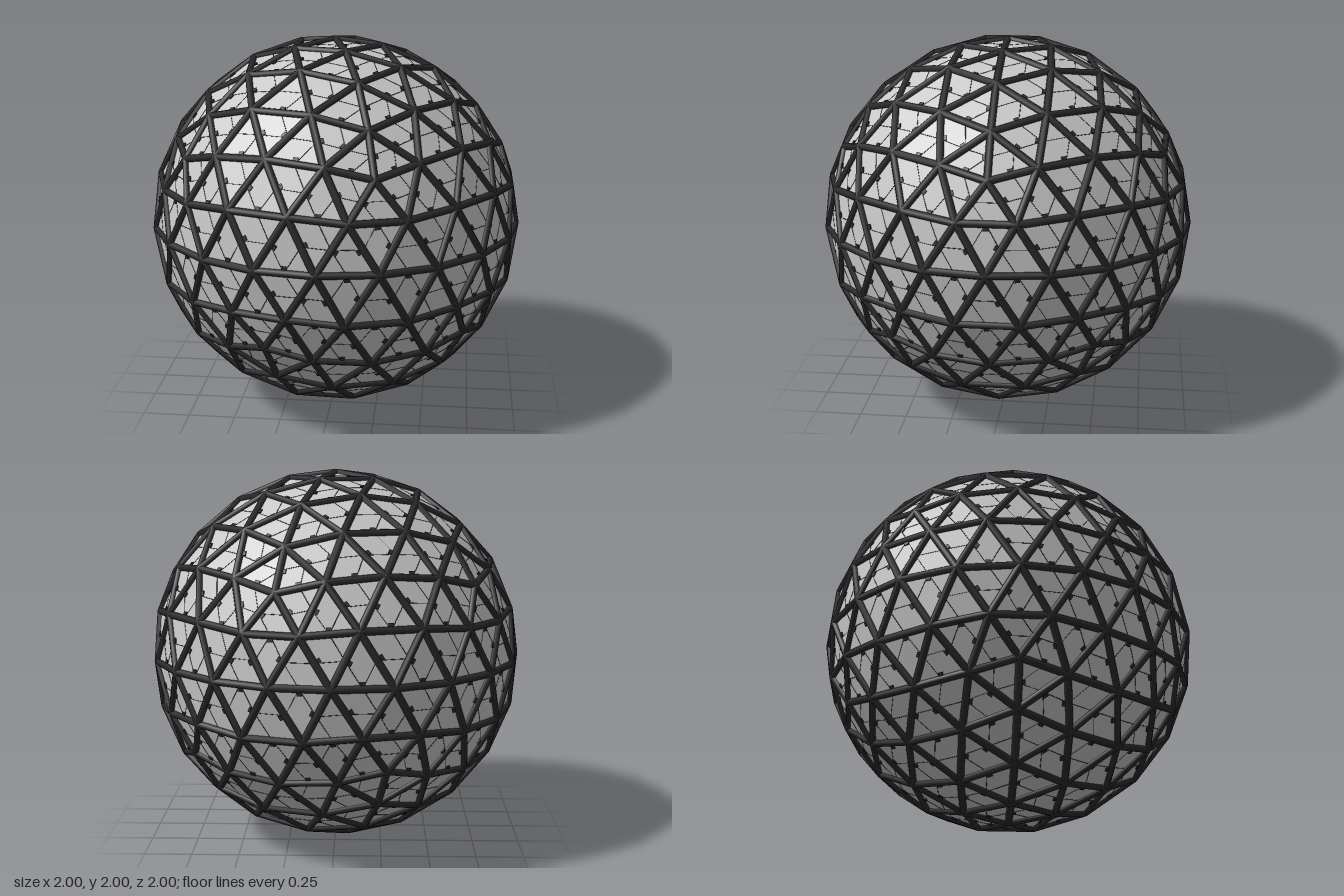
import * as THREE from 'three';
import { mergeGeometries } from 'three/addons/utils/BufferGeometryUtils.js';

const RADIUS = 0.981;  // frame centre line
const STRUT = 0.019;   // strut thickness

// Icosahedron standing on one corner, each side split in four
function geodesicSphere() {
  const v = [0, 1, 0], f = [];
  const h = 1 / Math.sqrt(5), r = 2 / Math.sqrt(5);
  for (const [y, turn] of [[h, 0], [-h, 0.5]]) {
    for (let i = 0; i < 5; i++) {
      const a = (i + turn) * Math.PI * 2 / 5;
      v.push(r * Math.cos(a), y, r * Math.sin(a));
    }
  }
  v.push(0, -1, 0);
  for (let i = 0; i < 5; i++) {
    const j = (i + 1) % 5;
    const u0 = 1 + i, u1 = 1 + j, l0 = 6 + i, l1 = 6 + j;
    f.push(0, u1, u0, u0, u1, l0, l1, l0, u1, 11, l0, l1);
  }
  const g = new THREE.PolyhedronGeometry(v, f, RADIUS, 3);
  g.computeVertexNormals(); // flat panels
  return g;
}

// Round bar from a to b
function bar(a, b, radius, sides) {
  const d = b.clone().sub(a);
  const g = new THREE.CylinderGeometry(radius, radius, d.length(), sides, 1, true);
  g.applyQuaternion(new THREE.Quaternion().setFromUnitVectors(
    new THREE.Vector3(0, 1, 0), d.normalize()));
  const m = a.clone().add(b).multiplyScalar(0.5);
  return g.translate(m.x, m.y, m.z);
}

export function createModel() {
  const group = new THREE.Group();
  const panelGrey = new THREE.MeshStandardMaterial({ color: 0xc8c8c8 });
  panelGrey.name = 'panelGrey';
  const frameBlack = new THREE.MeshStandardMaterial({ color: 0x2a2a2a });
  frameBlack.name = 'frameBlack';

  const panels = geodesicSphere();
  const pos = panels.attributes.position;
  const key = p => p.toArray().map(n => Math.round(n * 1000) + 0).join();
  const hubs = new Map(), edges = new Map(), wires = [], clips = [];

  for (let i = 0; i < pos.count; i += 3) {
    const c = [0, 1, 2].map(k => new THREE.Vector3().fromBufferAttribute(pos, i + k));
    const centre = c[0].clone().add(c[1]).add(c[2]).divideScalar(3);
    const mids = [];
    for (let k = 0; k < 3; k++) {
      const a = c[k], b = c[(k + 1) % 3];
      const mid = a.clone().add(b).multiplyScalar(0.5);
      mids.push(mid);
      hubs.set(key(a), a);
      if (!edges.has(key(mid))) {
        edges.set(key(mid), [a, b]);
        // small clip beside the middle of each strut
        const basis = new THREE.Matrix4();
        const along = b.clone().sub(a).normalize();
        const out = centre.clone().normalize();
        const across = out.clone().cross(along).normalize();
        basis.makeBasis(along, across, along.clone().cross(across));
        basis.setPosition(mid.clone().lerp(centre, 0.28));
        clips.push(new THREE.BoxGeometry(0.026, 0.02, 0.012).applyMatrix4(basis));
      }
    }
    // thin wires across the panel, between strut middles
    wires.push(bar(mids[0], mids[1], 0.0018, 4), bar(mids[1], mids[2], 0.0018, 4));
  }

  const struts = [...edges.values()].map(([a, b]) => bar(a, b, STRUT, 8));
  const balls = [...hubs.values()].map(p =>
    new THREE.SphereGeometry(STRUT, 8, 6).translate(p.x, p.y, p.z));

  const add = (name, geometry, material) => {
    const mesh = new THREE.Mesh(geometry, material);
    mesh.name = name;
    mesh.position.y = 1;
    group.add(mesh);
  };
  add('panels', panels, panelGrey);
  add('struts', mergeGeometries(struts), frameBlack);
  add('hubs', mergeGeometries(balls), frameBlack);
  add('clips', mergeGeometries(clips), frameBlack);
  add('wires', mergeGeometries(wires), frameBlack);
  return group;
}
